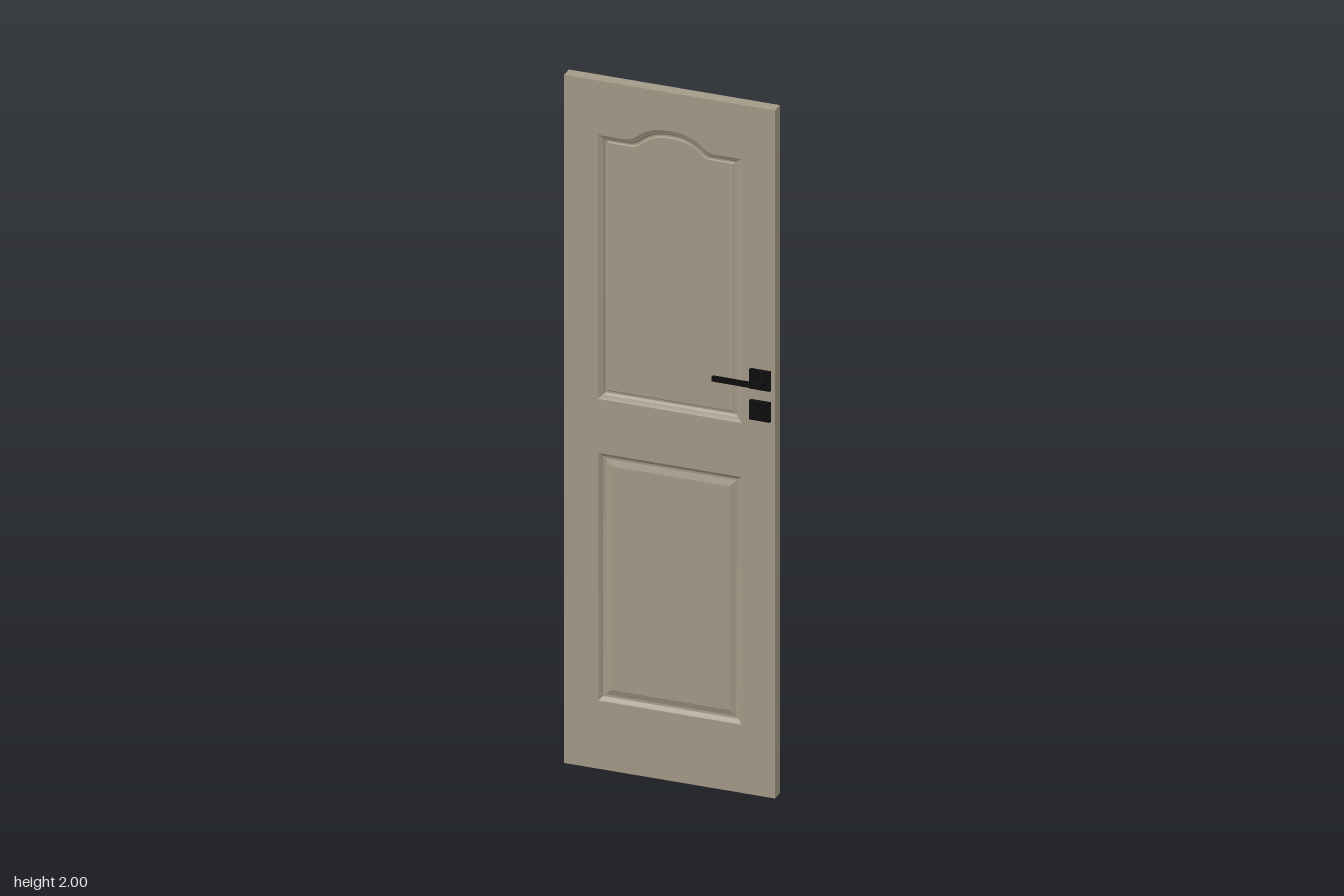
import * as THREE from 'three';
import { toCreasedNormals } from 'three/addons/utils/BufferGeometryUtils.js';

const W = 0.588, H = 2, T = 0.034;

// Closed counter-clockwise outlines of the two panels
function lowerOutline() {
  return [[-0.2, 0.198], [0.2, 0.198], [0.2, 0.918], [-0.2, 0.918]].map(p => new THREE.Vector2(...p));
}
function upperOutline() {
  const s = new THREE.Shape();
  s.moveTo(-0.2, 1.075);
  s.lineTo(0.2, 1.075);
  s.lineTo(0.2, 1.842);
  s.lineTo(0.125, 1.842);
  s.bezierCurveTo(0.085, 1.845, 0.085, 1.888, 0, 1.888);
  s.bezierCurveTo(-0.085, 1.888, -0.085, 1.845, -0.125, 1.842);
  s.lineTo(-0.2, 1.842);
  return s.getPoints(10);
}

// Shrinks an outline by an equal margin on all four sides
function inset(points, d) {
  const box = new THREE.Box2().setFromPoints(points);
  const c = box.getCenter(new THREE.Vector2()), size = box.getSize(new THREE.Vector2());
  return points.map(p => new THREE.Vector2(
    c.x + (p.x - c.x) * (1 - 2 * d / size.x),
    c.y + (p.y - c.y) * (1 - 2 * d / size.y)));
}

// Moulding lofted through [inset, depth] steps
function mouldingGeometry(outline, profile) {
  const rings = profile.map(([d, z]) => inset(outline, d).map(p => [p.x, p.y, T / 2 + z]));
  const pos = [], n = outline.length;
  for (let r = 0; r < rings.length - 1; r++) {
    for (let i = 0; i < n; i++) {
      const j = (i + 1) % n, a = rings[r], b = rings[r + 1];
      pos.push(...a[i], ...a[j], ...b[j], ...a[i], ...b[j], ...b[i]);
    }
  }
  const g = new THREE.BufferGeometry();
  g.setAttribute('position', new THREE.Float32BufferAttribute(pos, 3));
  return toCreasedNormals(g, 0.35);
}

export function createModel() {
  const paint = new THREE.MeshStandardMaterial({ color: 0xa49987 });
  paint.name = 'taupe paint';
  const black = new THREE.MeshStandardMaterial({ color: 0x0d0d0d });
  black.name = 'black metal';

  const model = new THREE.Group();
  model.name = 'panelDoor';
  const add = (parent, name, geometry, material, x = 0, y = 0, z = 0) => {
    const m = new THREE.Mesh(geometry, material);
    m.name = name;
    m.position.set(x, y, z);
    parent.add(m);
    return m;
  };

  // Door leaf, standing very slightly ajar
  const leaf = new THREE.Group();
  leaf.name = 'doorLeaf';
  leaf.position.z = 0.001;
  leaf.rotation.y = 0.008;
  model.add(leaf);

  const panels = [
    { name: 'upperPanel', outline: upperOutline(),
      profile: [[0, 0], [0.005, -0.003], [0.012, -0.006], [0.017, -0.011], [0.022, -0.011], [0.026, -0.009]] },
    { name: 'lowerPanel', outline: lowerOutline(),
      profile: [[0, 0], [0.005, -0.003], [0.011, -0.009], [0.017, -0.010], [0.035, -0.004]] },
  ];

  const slab = new THREE.Shape([[-W / 2, 0], [W / 2, 0], [W / 2, H], [-W / 2, H]].map(p => new THREE.Vector2(...p)));
  for (const p of panels) slab.holes.push(new THREE.Path(p.outline));
  const frame = new THREE.ExtrudeGeometry(slab, { depth: T, bevelEnabled: false });
  add(leaf, 'frame', frame, paint, 0, 0, -T / 2);

  // Moulded panels on both faces
  for (const side of ['front', 'back']) {
    const face = new THREE.Group();
    face.name = side + 'Panels';
    if (side === 'back') face.rotation.y = Math.PI;
    leaf.add(face);
    for (const { name, outline, profile } of panels) {
      const [d, z] = profile[profile.length - 1];
      add(face, name + 'Moulding', mouldingGeometry(outline, profile), paint);
      add(face, name + 'Field', new THREE.ShapeGeometry(new THREE.Shape(inset(outline, d))), paint, 0, 0, T / 2 + z);
    }
  }

  // Lever handle and lock plate on both faces
  for (const s of [1, -1]) {
    const handle = new THREE.Group();
    handle.name = s > 0 ? 'frontHandle' : 'backHandle';
    handle.position.z = -0.001;
    model.add(handle);
    const box = (name, w, h, d, x, y, z) => add(handle, name, new THREE.BoxGeometry(w, h, d), black, x, y, s * z);
    box('rosette', 0.058, 0.056, 0.012, 0.254, 1.212, 0.020);
    box('lockPlate', 0.058, 0.056, 0.012, 0.254, 1.122, 0.020);
    box('neck', 0.026, 0.014, 0.036, 0.259, 1.211, 0.043);
    box('lever', 0.138, 0.014, 0.009, 0.203, 1.211, 0.0565);
    const lock = add(handle, 'lockCylinder', new THREE.CylinderGeometry(0.018, 0.018, 0.004, 24), black, 0.254, 1.122, s * 0.026);
    lock.rotation.x = Math.PI / 2;
  }
  return model;
}
